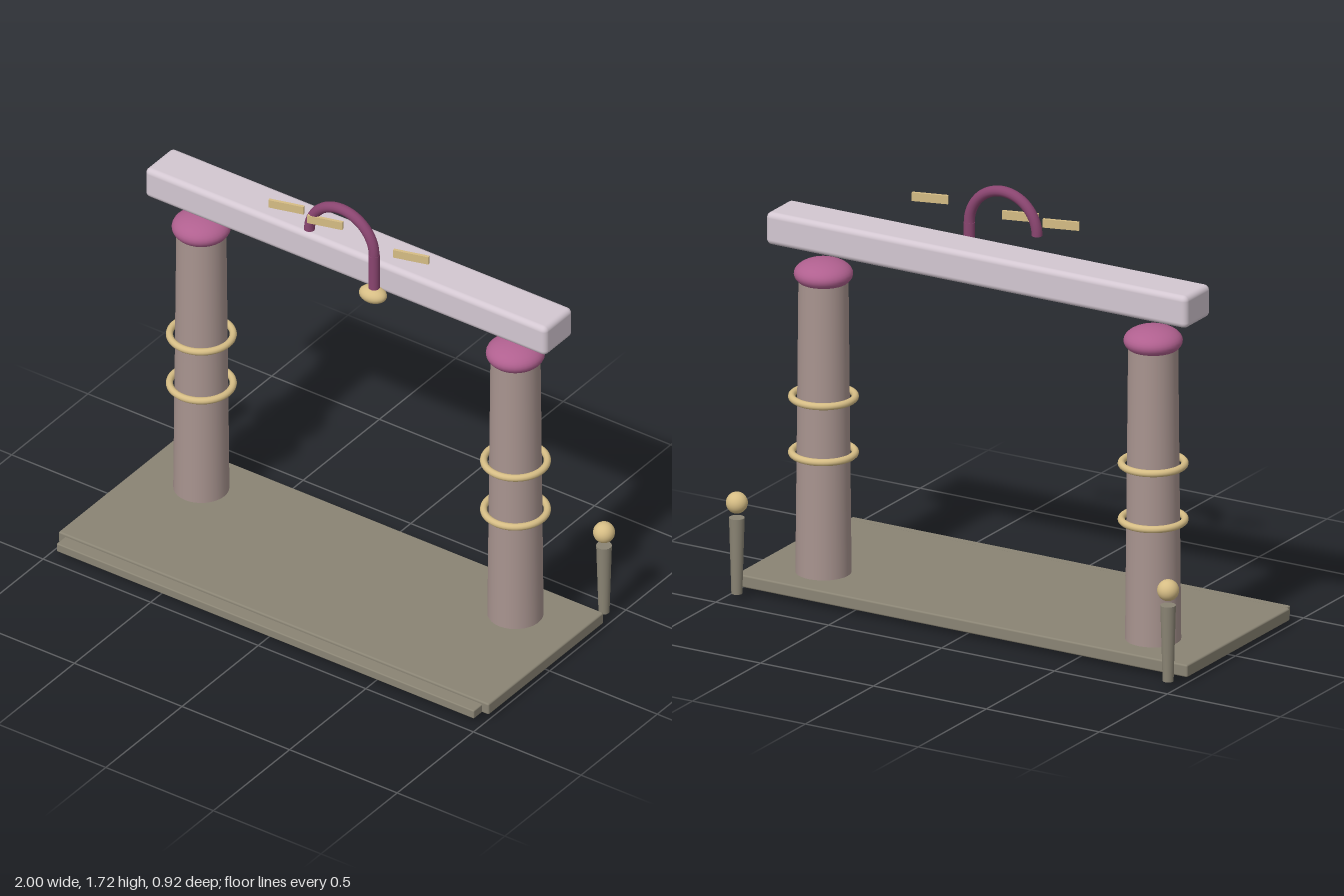
import * as THREE from 'three';
import { RoundedBoxGeometry } from 'three/addons/geometries/RoundedBoxGeometry.js';

const paint = (color) => new THREE.MeshStandardMaterial({ color });

export function createModel() {
  const model = new THREE.Group();
  const stone = paint(0x8a8474), column = paint(0xa8948f), pale = paint(0xd3c7d1);
  const pink = paint(0xb0608f), plum = paint(0x8a4570), gold = paint(0xd6bd85);

  function add(name, geometry, material, x, y, z, parent = model) {
    const mesh = new THREE.Mesh(geometry, material);
    mesh.name = name;
    mesh.position.set(x, y, z);
    parent.add(mesh);
    return mesh;
  }

  // Platform with a front step
  add('platform', new RoundedBoxGeometry(2, 0.05, 0.755, 2, 0.007), stone, 0, 0.045, 0.0225);
  add('frontStep', new RoundedBoxGeometry(1.94, 0.037, 0.1, 2, 0.005), stone, 0, 0.04, 0.405);

  // Inlay under the platform
  const inlay = new THREE.Shape([[0.4, -0.22], [0.43, 0.19], [-0.4, 0.22], [-0.42, 0.05]]
    .map(([x, z]) => new THREE.Vector2(x, z)));
  const inlayGeometry = new THREE.ExtrudeGeometry(inlay, { depth: 0.01, bevelEnabled: false });
  inlayGeometry.rotateX(Math.PI / 2);
  add('undersideInlay', inlayGeometry, gold, 0, 0.029, 0);

  // Pillars with caps, feet and rings, and the rear posts
  const knob = new THREE.SphereGeometry(1, 32, 20);
  for (const side of [-1, 1]) {
    const pillar = new THREE.Group();
    pillar.name = side > 0 ? 'leftPillar' : 'rightPillar';
    pillar.position.set(side * 0.73, 0, -0.157);
    model.add(pillar);
    add('shaft', new THREE.CylinderGeometry(0.095, 0.107, 1.22, 32), column, 0, 0.66, 0, pillar);
    add('cap', knob, pink, 0, 1.27, 0, pillar).scale.set(0.113, 0.057, 0.113);
    add('foot', knob, pink, 0, 0.055, 0, pillar).scale.set(0.105, 0.055, 0.105);
    for (const y of [0.55, 0.775]) {
      add('ring', new THREE.TorusGeometry(0.121, 0.014, 12, 48), gold, 0, y, 0, pillar)
        .rotation.x = Math.PI / 2;
    }

    const post = new THREE.Group();
    post.name = side > 0 ? 'leftPost' : 'rightPost';
    post.position.set(side * 0.955, 0, -0.42);
    model.add(post);
    add('stem', new THREE.CylinderGeometry(0.03, 0.021, 0.305, 20), stone, 0, 0.1725, 0, post);
    add('ball', knob, gold, 0, 0.385, 0, post).scale.setScalar(0.042);
  }

  // Crossbeam
  add('beam', new RoundedBoxGeometry(1.865, 0.13, 0.184, 4, 0.022), pale, 0, 1.441, -0.159);

  // Hook: half-circle, straight drop and end knob
  const hook = new THREE.Group();
  hook.name = 'hook';
  hook.position.z = -0.048;
  model.add(hook);
  add('hookArc', new THREE.TorusGeometry(0.15, 0.021, 14, 40, Math.PI), plum, 0, 1.55, 0, hook);
  add('hookTip', new THREE.CircleGeometry(0.021, 14), plum, -0.15, 1.55, 0, hook)
    .rotation.x = Math.PI / 2;
  add('hookStem', new THREE.CylinderGeometry(0.022, 0.022, 0.18, 20), plum, 0.15, 1.46, 0, hook);
  add('hookKnob', knob, gold, 0.147, 1.371, 0.003, hook).scale.set(0.058, 0.033, 0.043);

  // Small floating slats
  for (const x of [-0.255, -0.075, 0.325]) {
    add('slat', new THREE.BoxGeometry(0.142, 0.034, 0.012), gold, x, 1.613, -0.045)
      .rotation.y = 0.27;
  }
  return model;
}
